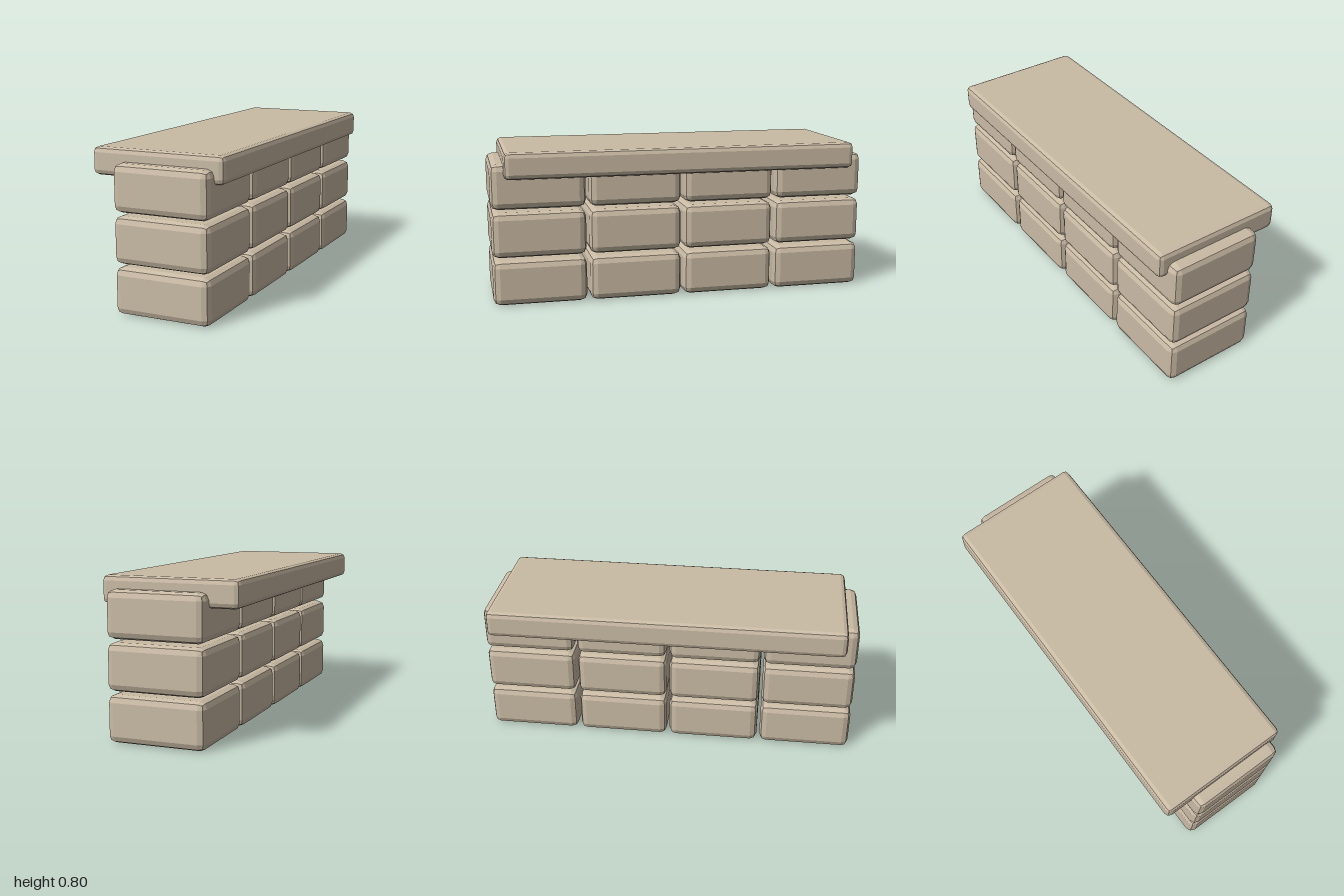
import * as THREE from 'three';
import { RoundedBoxGeometry } from 'three/addons/geometries/RoundedBoxGeometry.js';

// Box with two flat bevel facets along every edge
function bevelledBox(w, h, d, r) {
  const g = new RoundedBoxGeometry(w, h, d, 1, r);
  g.computeVertexNormals(); // unshared vertices, so facets stay flat
  return g;
}

export function createModel() {
  const model = new THREE.Group();
  model.name = 'stoneWall';
  const stone = new THREE.MeshStandardMaterial({ color: 0xcabba5 });
  stone.name = 'sandStone';

  // Three courses of four blocks, set slightly to the left
  const blocks = new THREE.Group();
  blocks.name = 'blocks';
  const blockGeometry = bevelledBox(0.506, 0.236, 0.488, 0.036);
  for (let row = 0; row < 3; row++) {
    for (let col = 0; col < 4; col++) {
      const block = new THREE.Mesh(blockGeometry, stone);
      block.name = `block${row + 1}_${col + 1}`;
      block.position.set(0.05, 0.119 + row * 0.2515, (col - 1.5) * 0.504);
      blocks.add(block);
    }
  }
  model.add(blocks);

  // Wide cap slab, sunk into the top course
  const slab = new THREE.Mesh(bevelledBox(0.702, 0.138, 1.866, 0.026), stone);
  slab.name = 'capSlab';
  slab.position.set(0, 0.734, -0.002);
  model.add(slab);

  return model;
}
